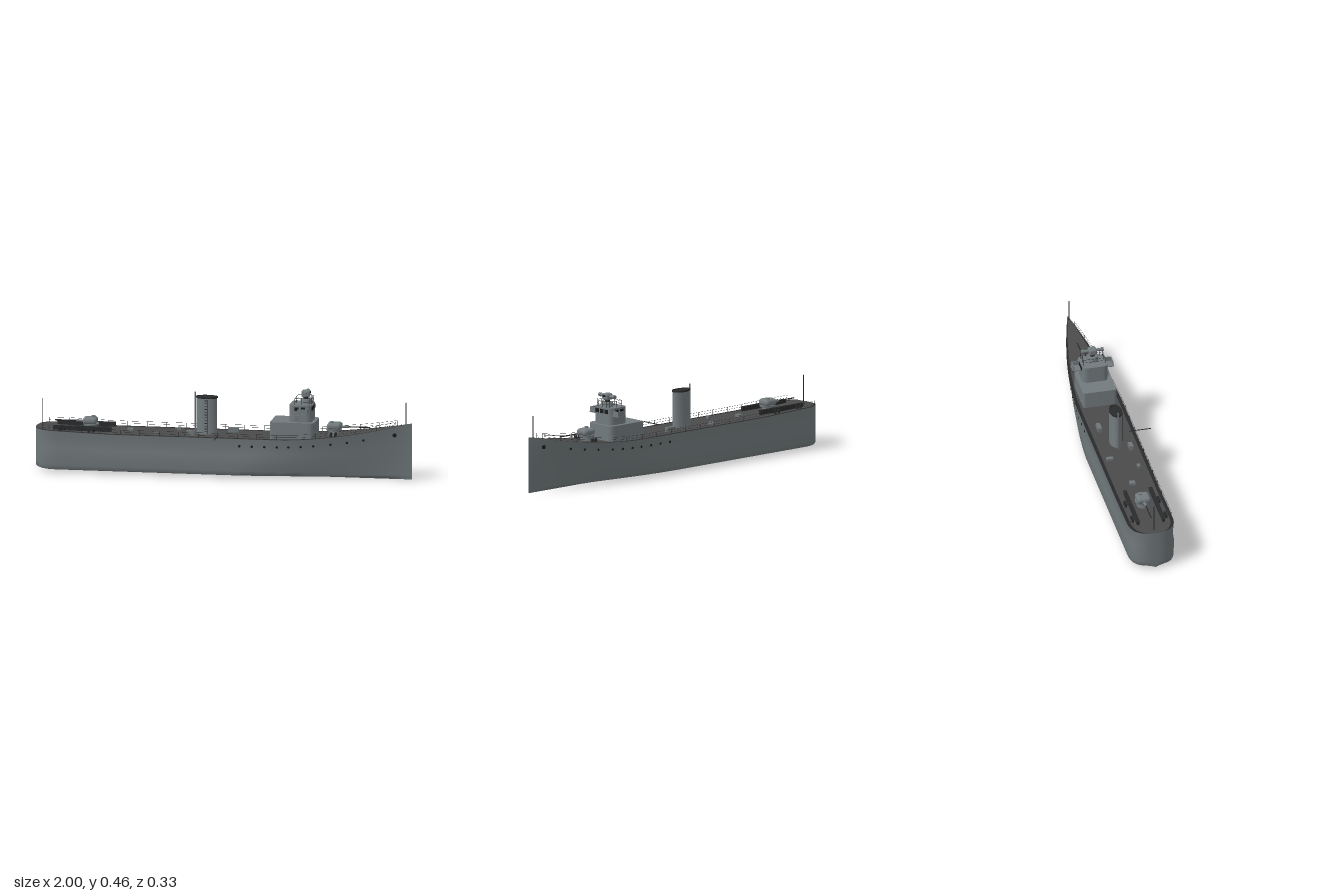
import * as THREE from 'three';
import { toCreasedNormals } from 'three/addons/utils/BufferGeometryUtils.js';
import { RoundedBoxGeometry } from 'three/addons/geometries/RoundedBoxGeometry.js';

const paint = (name, color, side = THREE.FrontSide) => {
  const m = new THREE.MeshStandardMaterial({ color, side });
  m.name = name;
  return m;
};

// Height of the deck and half-width of the hull along its length
const sheer = x => 0.21 + 0.09 * Math.max(0, (x - 0.3) / 0.7) ** 1.8 + 0.013 * Math.max(0, (-0.6 - x) / 0.4);
function halfWidth(x, k = 1) { // k: 0 at the bilge, 1 at the deck
  if (x < -0.86) {
    const u = Math.min(1, (-0.86 - x) / 0.14);
    return 0.1235 * (1 - u ** 2.6) ** (1 / 2.6);
  }
  const start = 0.05 + 0.2 * k;
  const t = Math.min(1, Math.max(0, (x - start) / (1 - start)));
  return 0.1235 * (1 - t ** (1.65 + 0.2 * k)) ** (1.45 - 0.45 * k);
}

// Skin through cross-sections, each a row of points at one station
function skin(stations, section, crease = 0.5) {
  const rows = stations.map(section), n = rows[0].length, index = [];
  for (let i = 0; i < rows.length - 1; i++) for (let j = 0; j < n - 1; j++) {
    const a = i * n + j, b = a + n;
    index.push(a, b, b + 1, a, b + 1, a + 1);
  }
  const g = new THREE.BufferGeometry();
  g.setAttribute('position', new THREE.Float32BufferAttribute(rows.flat(2), 3));
  g.setIndex(index);
  return toCreasedNormals(g, crease);
}

export function createModel() {
  const root = new THREE.Group(), ship = new THREE.Group();
  ship.name = 'ship';
  ship.position.z = -0.042;
  root.add(ship);

  const hullGrey = paint('hull grey', 0x6e7678);
  const lightGrey = paint('light grey', 0x727a7d);
  const deckGrey = paint('deck grey', 0x4a4a4a, THREE.DoubleSide);
  const dark = paint('dark metal', 0x2a2b2c, THREE.DoubleSide);
  const black = paint('black', 0x1a1b1b);

  const add = (name, geo, mat, x = 0, y = 0, z = 0, parent = ship) => {
    const m = new THREE.Mesh(geo, mat);
    m.name = name;
    m.position.set(x, y, z);
    parent.add(m);
    return m;
  };
  const box = (name, w, h, d, mat, x, y, z, parent) => add(name, new THREE.BoxGeometry(w, h, d), mat, x, y, z, parent);
  const round = (name, w, h, d, r, mat, x, y, z, parent) =>
    add(name, new RoundedBoxGeometry(w, h, d, 3, r), mat, x, y, z, parent);
  const cyl = (name, r1, r2, h, mat, x, y, z, parent, n = 20) =>
    add(name, new THREE.CylinderGeometry(r1, r2, h, n), mat, x, y, z, parent);
  const up = new THREE.Vector3(0, 1, 0);
  const rod = (name, a, b, r, mat = dark, parent = ship, n = 6) => {
    const p = new THREE.Vector3(...a), q = new THREE.Vector3(...b), d = q.clone().sub(p);
    const m = cyl(name, r, r, d.length(), mat, 0, 0, 0, parent, n);
    m.position.copy(p).add(q).multiplyScalar(0.5);
    m.quaternion.setFromUnitVectors(up, d.normalize());
    return m;
  };
  // Block with its four upright corners rounded: r at the front, q at the back
  const house = (name, w, h, d, r, q, mat, x, y) => {
    const s = new THREE.Shape(), a = w / 2, b = d / 2;
    s.moveTo(-a + q, -b).lineTo(a - r, -b).quadraticCurveTo(a, -b, a, -b + r).lineTo(a, b - r);
    s.quadraticCurveTo(a, b, a - r, b).lineTo(-a + q, b).quadraticCurveTo(-a, b, -a, b - q);
    s.lineTo(-a, -b + q).quadraticCurveTo(-a, -b, -a + q, -b);
    const g = new THREE.ExtrudeGeometry(s, { depth: h, bevelEnabled: false, curveSegments: 8 });
    return add(name, toCreasedNormals(g.rotateX(-Math.PI / 2), 0.6), mat, x, y, 0);
  };

  // Hull: stations packed closely round the stern, rounded at the bilge
  const stations = [];
  for (let i = 0; i <= 12; i++) stations.push(-0.86 - 0.14 * Math.cos(i / 12 * Math.PI / 2));
  for (let i = 1; i <= 40; i++) stations.push(-0.86 + 1.86 * i / 40);
  const levels = [[0, 0, 0.94], [0.03, 0, 0.975], [0.12, 0.08, 0.995], [0.3, 0.28, 1], [0.5, 0.5, 1], [0.6, 0.6, 0.975],
    [0.85, 0.85, 0.975], [1, 1, 1]];
  add('hull', skin(stations, x => {
    const keel = 0.01 * Math.max(0, (-0.9 - x) / 0.1) ** 2;
    const bilge = 0.014 + keel, top = sheer(x);
    const half = levels.map(([v, k, f]) => [bilge + (top - bilge) * v, halfWidth(x, k) * f]);
    const port = half.map(([y, w]) => [x, y, w]);
    const starboard = half.map(([y, w]) => [x, y, -w]).reverse();
    return [...starboard, [x, keel, 0], ...port];
  }, 1.5), hullGrey);
  add('deck', skin(stations, x => [[x, sheer(x), halfWidth(x)], [x, sheer(x), -halfWidth(x)]]), deckGrey);
  const edgeX = stations.filter(x => x > -0.99 && x < 0.98);
  for (const s of [1, -1]) add('deckEdge', skin(edgeX, x => {
    const w = halfWidth(x), inner = w - Math.min(0.018, w * 0.16), y = sheer(x) + 0.0015;
    return s > 0 ? [[x, y, w], [x, y, inner]] : [[x, y, -inner], [x, y, -w]];
  }), dark);

  // Railings, portholes and hawse holes on both sides
  const railX = Array.from({ length: 19 }, (_, i) => -0.95 + i * 1.87 / 18);
  const holes = [0.1, 0.167, 0.233, 0.3, 0.36, 0.425, 0.49, 0.58, 0.665, 0.75];
  for (const s of [1, -1]) {
    const at = (x, h) => [x, sheer(x) + h, s * (halfWidth(x) - 0.003)];
    railX.forEach((x, i) => {
      rod('railPost', at(x, 0), at(x, 0.027), 0.001);
      if (i) for (const h of [0.014, 0.027]) rod('railWire', at(railX[i - 1], h), at(x, h), 0.0006);
    });
    // Short plug lying square to the hull side
    const hole = (name, x, y, r) => {
      const k = (y - 0.014) / (sheer(x) - 0.014), side = p => halfWidth(p, k) * 0.975;
      const slope = (side(x + 0.01) - side(x - 0.01)) / 0.02, w = side(x);
      rod(name, [x + slope * 0.006, y, s * (w - 0.006)], [x - slope * 0.002, y, s * (w + 0.002)], r, black, ship, 12);
    };
    for (const x of holes) hole('porthole', x, sheer(x) - 0.038, 0.0065);
    hole('hawseHole', 0.91, 0.238, 0.011);

    // Bollards and the stern racks
    for (const [x, z] of [[-0.85, 0.09], [-0.695, 0.09], [0.59, 0.065]]) for (const d of [-0.012, 0.012])
      cyl('bollard', 0.008, 0.007, 0.02, dark, x + d, sheer(x) + 0.01, s * z, ship, 10);
    box('sternRack', 0.31, 0.022, 0.012, dark, -0.745, 0.227, s * 0.069);
    for (const d of [-0.008, 0.008]) box('rackRail', 0.31, 0.004, 0.003, dark, -0.745, 0.238, s * 0.069 + d);
  }

  // Deckhouse and bridge
  house('deckhouse', 0.235, 0.095, 0.18, 0.035, 0.012, lightGrey, 0.375, 0.205);
  house('bridge', 0.12, 0.09, 0.136, 0.035, 0.03, lightGrey, 0.415, 0.3);
  for (const z of [-0.035, 0, 0.035]) box('bridgeWindow', 0.006, 0.022, 0.026, black, 0.473, 0.37, z);
  for (const s of [1, -1]) {
    for (const x of [0.395, 0.43]) box('sideWindow', 0.022, 0.02, 0.006, black, x, 0.37, s * 0.0665);
    box('wingFloor', 0.056, 0.005, 0.046, lightGrey, 0.432, 0.35, s * 0.088);
    box('wingFront', 0.004, 0.026, 0.04, lightGrey, 0.457, 0.364, s * 0.088);
    box('wingSide', 0.054, 0.026, 0.004, lightGrey, 0.432, 0.364, s * 0.106);
  }
  box('bridgeLocker', 0.02, 0.032, 0.012, hullGrey, 0.4, 0.322, 0.072);
  // Bridge-top railing
  const ring = [[0.385, -0.058], [0.385, 0.058], [0.455, 0.058], [0.471, 0.03], [0.471, -0.03], [0.455, -0.058]];
  ring.forEach(([x, z], i) => {
    const [x2, z2] = ring[(i + 1) % ring.length];
    rod('bridgePost', [x, 0.39, z], [x, 0.424, z], 0.001);
    rod('bridgePost', [(x + x2) / 2, 0.39, (z + z2) / 2], [(x + x2) / 2, 0.424, (z + z2) / 2], 0.001);
    for (const y of [0.407, 0.424]) rod('bridgeRail', [x, y, z], [x2, y, z2], 0.0008);
  });

  // Rangefinder on its pedestal
  cyl('pedestal', 0.028, 0.034, 0.024, lightGrey, 0.435, 0.402, 0);
  cyl('pedestalColumn', 0.012, 0.014, 0.025, dark, 0.435, 0.42, 0);
  round('rangefinderBody', 0.046, 0.035, 0.042, 0.009, lightGrey, 0.435, 0.443, 0);
  rod('rangefinderTube', [0.435, 0.446, -0.055], [0.435, 0.446, 0.055], 0.008, lightGrey, ship, 16);
  for (const s of [1, -1]) rod('rangefinderEnd', [0.435, 0.446, s * 0.048], [0.435, 0.446, s * 0.06], 0.0105, lightGrey, ship, 16);
  for (const z of [-0.009, 0, 0.009]) box('rangefinderSlit', 0.004, 0.01, 0.006, black, 0.457, 0.448, z);

  // Oval funnel with a dark cap, ladder and steam pipe
  const funnel = new THREE.Group();
  funnel.name = 'funnel';
  funnel.position.set(-0.093, 0.205, 0);
  ship.add(funnel);
  const oval = (name, profile, mat) => {
    const g = new THREE.LatheGeometry(profile.map(p => new THREE.Vector2(...p)), 32);
    add(name, toCreasedNormals(g, 0.5), mat, 0, 0, 0, funnel).scale.z = 0.58;
  };
  oval('funnelShell', [[0.057, 0], [0.055, 0.012], [0.054, 0.196]], lightGrey);
  oval('funnelCap', [[0.054, 0.195], [0.058, 0.197], [0.058, 0.205], [0.05, 0.206], [0.048, 0.2], [0, 0.2]], dark);
  rod('steamPipe', [-0.062, 0, 0], [-0.062, 0.226, 0], 0.005, hullGrey, funnel, 10);
  for (const dx of [-0.007, 0.007]) rod('ladderRail', [dx, 0.01, 0.034], [dx, 0.19, 0.034], 0.001, dark, funnel);
  for (let i = 0; i < 12; i++) box('ladderRung', 0.014, 0.003, 0.003, dark, 0, 0.02 + i * 0.015, 0.034, funnel);

  // Guns: a pedestal, a rounded shield and one barrel
  const gun = (name, x, y, turn, reach) => {
    const g = new THREE.Group();
    g.name = name;
    g.position.set(x, y, 0);
    g.rotation.y = turn;
    ship.add(g);
    cyl('gunBase', 0.028, 0.034, 0.032, hullGrey, 0, 0.014, 0, g);
    cyl('gunPlatform', 0.042, 0.04, 0.01, lightGrey, -0.004, 0.03, 0, g, 24);
    round('gunShield', 0.076, 0.036, 0.074, 0.016, lightGrey, 0, 0.05, 0, g);
    cyl('gunHatch', 0.011, 0.011, 0.008, lightGrey, -0.014, 0.07, 0.012, g, 12);
    rod('gunSleeve', [0.03, 0.046, 0], [0.075, 0.046, 0], 0.0065, lightGrey, g, 12);
    rod('gunBarrel', [0.07, 0.046, 0], [reach, 0.046, 0], 0.0032, dark, g, 10);
  };
  gun('foreGun', 0.588, 0.225, 0, 0.187);
  gun('aftGun', -0.713, 0.21, Math.PI, 0.187);

  // Deck lockers: x, z, length, width, height
  for (const [x, z, w, d, h] of [[-0.5, -0.006, 0.03, 0.03, 0.014], [-0.25, -0.068, 0.022, 0.036, 0.014],
    [0.04, -0.058, 0.055, 0.022, 0.026], [-0.168, 0.064, 0.044, 0.022, 0.026], [-0.35, 0.064, 0.024, 0.016, 0.014]])
    box('deckLocker', w, h, d, hullGrey, x, 0.209 + h / 2, z);

  // Boat boom and flagstaffs
  rod('boatBoom', [-0.02, 0.217, 0.09], [-0.02, 0.217, 0.209], 0.0025);
  rod('sternStaff', [-0.967, 0.22, 0], [-0.967, 0.37, 0], 0.0026);
  rod('bowStaff', [0.968, 0.285, 0], [0.968, 0.41, 0], 0.0026);
  return root;
}
